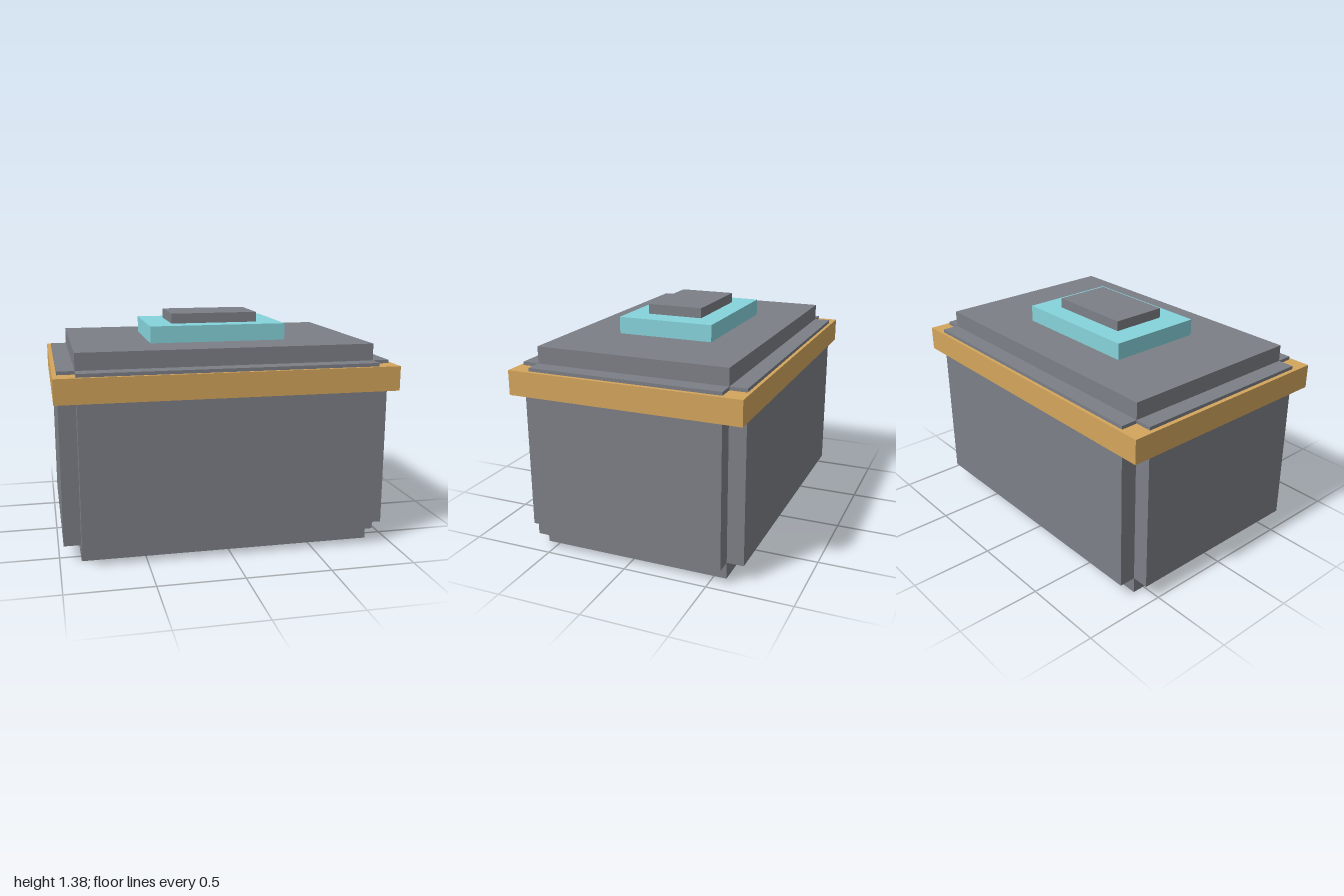
import * as THREE from 'three';

const GREY = new THREE.MeshStandardMaterial({ color: 0x7c7f86 });
const GOLD = new THREE.MeshStandardMaterial({ color: 0xd3a55c });
const CYAN = new THREE.MeshStandardMaterial({ color: 0x86d3db });

export function createModel() {
  const model = new THREE.Group();
  model.name = 'crate';

  // Box centred on x and z, spanning y0 to y1
  function block(name, material, width, depth, y0, y1, x = 0, z = 0) {
    const mesh = new THREE.Mesh(new THREE.BoxGeometry(width, y1 - y0, depth), material);
    mesh.name = name;
    mesh.position.set(x, (y0 + y1) / 2, z);
    model.add(mesh);
  }

  // Core with a raised panel on each of its four sides
  const w = 1.75, d = 1.15, t = 0.1;
  block('core', GREY, w, d, 0, 1.22);
  for (const s of [1, -1]) {
    block(s > 0 ? 'frontPanel' : 'backPanel', GREY, w, t, 0.1, 1.12, 0, s * (d + t) / 2);
    block(s > 0 ? 'leftPanel' : 'rightPanel', GREY, t, d, 0.1, 1.12, s * (w + t) / 2, 0);
  }

  // Band around the upper body
  block('band', GOLD, 2, 1.39, 0.955, 1.1);

  // Stepped top
  block('topPlate', CYAN, 0.825, 0.585, 1.22, 1.32);
  block('topCap', GREY, 0.53, 0.34, 1.32, 1.38);

  return model;
}
